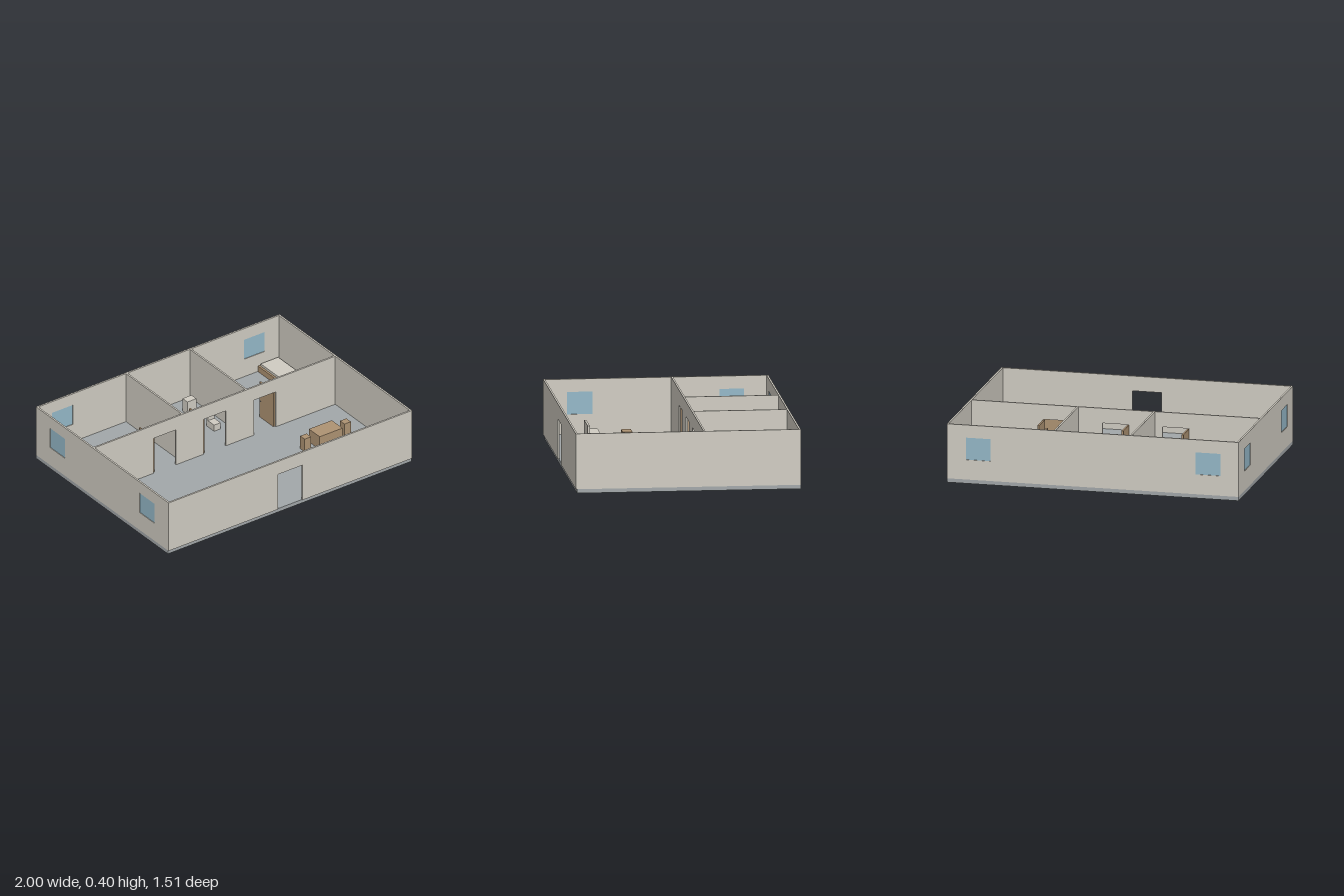
import * as THREE from 'three';

const FLOOR = 0.027, TOP = 0.402, T = 0.0125, DOOR_TOP = 0.3;

function makeMaterial(name, color) {
  const m = new THREE.MeshStandardMaterial({ color });
  m.name = name;
  return m;
}

export function createModel() {
  const model = new THREE.Group();
  model.name = 'house';
  const plaster = makeMaterial('cream plaster', 0xd0ccc2);
  const slab = makeMaterial('grey floor', 0xa2a7a9);
  const wood = makeMaterial('brown wood', 0xae9373);
  const glass = makeMaterial('blue glass', 0x94b8c8);
  const metal = makeMaterial('dark metal', 0x5c6062);

  // Box given by its limits on each axis
  function box(name, mat, x0, x1, y0, y1, z0, z1, parent = model) {
    const mesh = new THREE.Mesh(new THREE.BoxGeometry(x1 - x0, y1 - y0, z1 - z0), mat);
    mesh.position.set((x0 + x1) / 2, (y0 + y1) / 2, (z0 + z1) / 2);
    mesh.name = name;
    parent.add(mesh);
    return mesh;
  }

  function rod(name, from, to, radius) {
    const a = new THREE.Vector3(...from), b = new THREE.Vector3(...to);
    const mesh = new THREE.Mesh(new THREE.CylinderGeometry(radius, radius, a.distanceTo(b), 12), metal);
    mesh.position.copy(a).add(b).multiplyScalar(0.5);
    mesh.quaternion.setFromUnitVectors(new THREE.Vector3(0, 1, 0), b.sub(a).normalize());
    mesh.name = name;
    model.add(mesh);
  }

  // Wall from a to b: doors are notches at the foot, windows are holes with a thin pane
  function wall(name, a, b, { doors = [], windows = [] } = {}) {
    const group = new THREE.Group();
    group.name = name;
    const s = new THREE.Shape();
    s.moveTo(a, FLOOR);
    for (const [l, r] of doors) {
      s.lineTo(l, FLOOR);
      s.lineTo(l, DOOR_TOP);
      s.lineTo(r, DOOR_TOP);
      s.lineTo(r, FLOOR);
    }
    s.lineTo(b, FLOOR);
    s.lineTo(b, TOP);
    s.lineTo(a, TOP);
    s.closePath();
    const y0 = 0.163, y1 = 0.315;
    for (const [l, r] of windows) {
      s.holes.push(new THREE.Path([[l, y0], [l, y1], [r, y1], [r, y0]].map(p => new THREE.Vector2(...p))));
      box('windowPane', glass, l, r, y0, y1, -0.002, 0.002, group);
    }
    const geo = new THREE.ExtrudeGeometry(s, { depth: T, bevelEnabled: false });
    geo.translate(0, 0, -T / 2);
    const mesh = new THREE.Mesh(geo, plaster);
    mesh.name = name + 'Panel';
    group.add(mesh);
    model.add(group);
    return group;
  }

  // Floor slab
  box('floor', slab, -1, 1, 0, FLOOR, -0.753, 0.745);

  // Outer walls
  const zOut = 0.753, inner = zOut - T;
  wall('frontWall', -1, 1, { doors: [[-0.1, 0.1]] }).position.z = zOut - T / 2;
  wall('backWall', -1, 1, { windows: [[-0.875, -0.705], [0.7, 0.87]] }).position.z = -zOut + T / 2;
  const rightWall = wall('rightWall', -inner, inner, { windows: [[-0.59, -0.425], [0.425, 0.595]] });
  rightWall.rotation.y = -Math.PI / 2;
  rightWall.position.x = -1 + T / 2;
  const leftWall = wall('leftWall', -inner, inner);
  leftWall.rotation.y = -Math.PI / 2;
  leftWall.position.x = 1 - T / 2;

  // Partitions
  const doorways = [[-0.503, -0.32], [-0.092, 0.09], [0.32, 0.5]];
  wall('hallPartition', -1 + T, 1 - T, { doors: doorways }).position.z = -0.109;
  for (const x of [-0.262, 0.262]) {
    const w = wall('bathroomPartition', -inner, -0.109 - T / 2);
    w.rotation.y = -Math.PI / 2;
    w.position.x = x;
  }

  // Open doors with handles
  for (const x of [-0.502, -0.09, 0.487]) {
    box('doorLeaf', wood, x, x + 0.012, FLOOR, DOOR_TOP - 0.002, -0.272, -0.113);
    rod('doorHandle', [x - 0.003, 0.155, -0.26], [x + 0.016, 0.155, -0.26], 0.005);
  }

  // Bedrooms, mirrored
  for (const side of [-1, 1]) {
    const span = (name, mat, near, far, ...rest) =>
      box(name, mat, Math.min(side * near, side * far), Math.max(side * near, side * far), ...rest);
    span('bedFrame', wood, 0.814, 0.986, FLOOR, 0.07, -0.74, -0.488);
    span('mattress', plaster, 0.828, 0.972, 0.07, 0.088, -0.728, -0.5);
    span('wardrobe', wood, 0.863, 0.96, FLOOR, 0.25, -0.313, -0.228);
  }

  // Bathtub: rim walls around the water
  const [bx0, bx1, bz0, bz1, rim, tubTop] = [-0.243, -0.13, -0.71, -0.477, 0.01, 0.072];
  box('tubSide', plaster, bx0, bx0 + rim, FLOOR, tubTop, bz0, bz1);
  box('tubSide', plaster, bx1 - rim, bx1, FLOOR, tubTop, bz0, bz1);
  box('tubEnd', plaster, bx0 + rim, bx1 - rim, FLOOR, tubTop, bz0, bz0 + rim);
  box('tubEnd', plaster, bx0 + rim, bx1 - rim, FLOOR, tubTop, bz1 - rim, bz1);
  box('tubWater', glass, bx0 + rim, bx1 - rim, 0.055, 0.063, bz0 + rim, bz1 - rim);

  // Shower
  rod('showerPipe', [-0.25, 0.08, -0.667], [-0.25, 0.267, -0.667], 0.004);
  rod('showerArm', [-0.254, 0.263, -0.667], [-0.2, 0.263, -0.667], 0.004);
  rod('showerHead', [-0.202, 0.243, -0.667], [-0.202, 0.267, -0.667], 0.009);

  // Toilet and basin
  box('toiletBowl', plaster, 0.134, 0.188, FLOOR, 0.075, -0.367, -0.297);
  box('toiletTank', plaster, 0.134, 0.188, FLOOR, 0.125, -0.386, -0.367);
  box('basin', plaster, 0.115, 0.188, FLOOR, 0.125, -0.629, -0.573);

  // Living room
  box('coffeeTable', wood, -0.84, -0.737, FLOOR, 0.083, 0.184, 0.25);
  box('sofaSeat', plaster, -0.904, -0.678, FLOOR, 0.08, 0.4, 0.475);
  box('sofaBack', plaster, -0.904, -0.678, FLOOR, 0.14, 0.475, 0.49);

  // Dining area and kitchen counter
  box('diningTable', wood, 0.567, 0.755, FLOOR, 0.127, 0.18, 0.302);
  for (const x of [0.47, 0.797]) box('stool', wood, x, x + 0.052, FLOOR, 0.125, 0.215, 0.266);
  box('kitchenCounter', wood, 0.476, 0.845, FLOOR, 0.13, 0.606, 0.688);

  return model;
}
